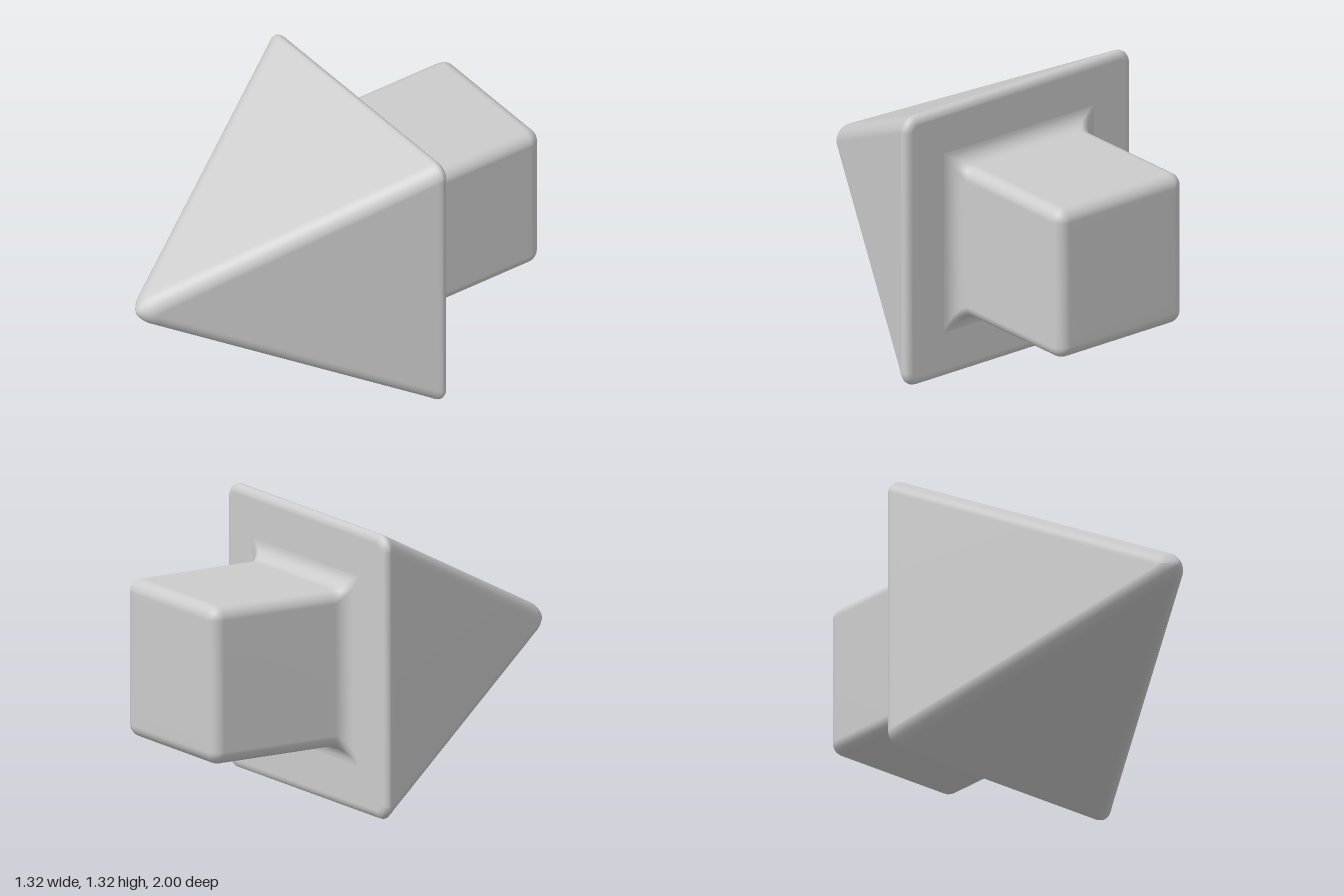
import * as THREE from 'three';

const CENTER_Y = 0.66;
const ARC = 8; // segments per rounded corner

// Outline of a square with rounded corners, counter-clockwise
function roundedSquare(half, radius) {
  const r = Math.min(radius, half), points = [];
  for (let c = 0; c < 4; c++) {
    const mid = Math.PI / 4 + c * Math.PI / 2;
    const cx = Math.sign(Math.cos(mid)) * (half - r);
    const cy = Math.sign(Math.sin(mid)) * (half - r);
    for (let i = 0; i <= ARC; i++) {
      const a = c * Math.PI / 2 + i / ARC * Math.PI / 2;
      points.push([cx + r * Math.cos(a), cy + r * Math.sin(a)]);
    }
  }
  return points;
}

// Skin rounded squares given as [half width, z, corner radius], front to back
function loft(sections) {
  const positions = [], index = [], n = 4 * (ARC + 1);
  for (const [half, z, radius] of sections) {
    if (half === 0) for (let j = 0; j < n; j++) positions.push(0, 0, z);
    else for (const [x, y] of roundedSquare(half, radius)) positions.push(x, y, z);
  }
  for (let i = 0; i < sections.length - 1; i++) {
    for (let j = 0; j < n; j++) {
      const k = (j + 1) % n;
      const a = i * n + j, b = i * n + k, c = a + n, d = b + n;
      if (sections[i][0] > 0) index.push(a, c, b);
      if (sections[i + 1][0] > 0) index.push(b, c, d);
    }
  }
  const geometry = new THREE.BufferGeometry();
  geometry.setAttribute('position', new THREE.Float32BufferAttribute(positions, 3));
  geometry.setIndex(index);
  geometry.computeVertexNormals();
  return geometry;
}

export function createModel() {
  const group = new THREE.Group();
  const material = new THREE.MeshStandardMaterial({ color: 0xcccccc });
  const add = (name, sections) => {
    const mesh = new THREE.Mesh(loft(sections), material);
    mesh.name = name;
    mesh.position.y = CENTER_Y;
    group.add(mesh);
  };

  // Pyramid head: blunt tip, straight flanks, rounded rim and flat back
  add('pyramidHead', [
    [0, 1, 0], [0.015, 0.998, 0.07], [0.03, 0.989, 0.07], [0.05, 0.972, 0.07],
    [0.066, 0.955, 0.07], [0.077, 0.935, 0.07],
    [0.64, -0.19, 0.07], [0.652, -0.212, 0.07], [0.659, -0.228, 0.07],
    [0.66, -0.238, 0.07], [0.655, -0.251, 0.065], [0.645, -0.26, 0.055],
    [0.63, -0.265, 0.04], [0.62, -0.265, 0.03], [0.44, -0.265, 0.01], [0.3, -0.265, 0.01],
  ]);

  // Square shank: concave fillet at the head, rounded far end
  const shank = [];
  const steps = 8, fillet = 0.073, round = 0.06, half = 0.367;
  for (let i = 0; i <= steps; i++) {
    const t = i / steps, a = t * Math.PI / 2;
    shank.push([half + fillet * (1 - Math.sin(a)), -0.265 - fillet * (1 - Math.cos(a)), 0.01 + 0.05 * t]);
  }
  shank.push([half, -0.36, 0.06]);
  for (let i = 0; i <= steps; i++) {
    const a = i / steps * Math.PI / 2;
    shank.push([half - round * (1 - Math.cos(a)), -1 + round * (1 - Math.sin(a)),
      Math.max(0.06 * Math.cos(a), 0.002)]);
  }
  shank.push([0.25, -1, 0.002], [0, -1, 0]);
  add('squareShank', shank);

  return group;
}
